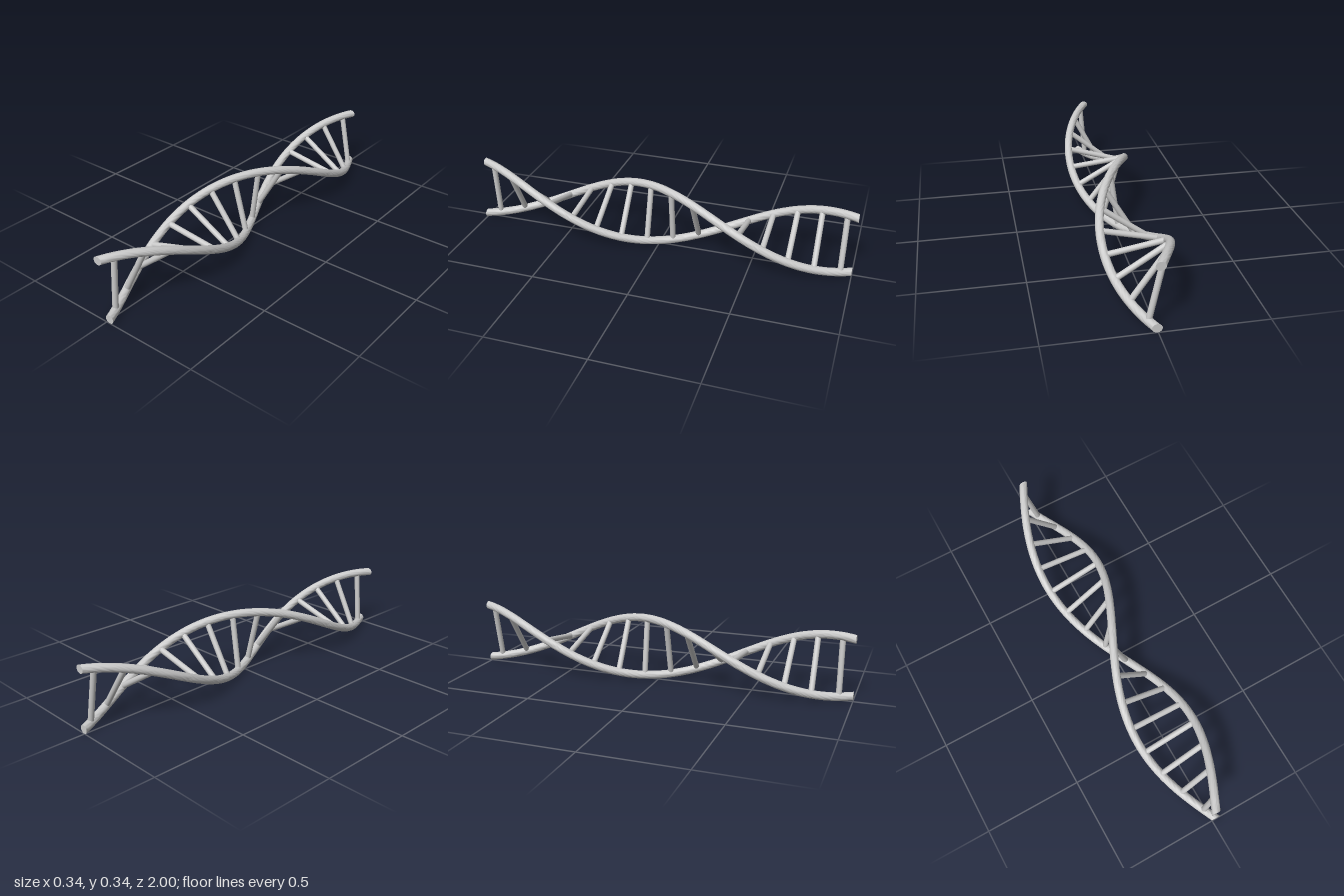
import * as THREE from 'three';
import { toCreasedNormals } from 'three/addons/utils/BufferGeometryUtils.js';

const R = 0.149;            // helix radius
const TUBE = 0.021;         // strand thickness (radius)
const AXIS_Y = 0.17;        // height of the helix axis
const TWIST = THREE.MathUtils.degToRad(183);   // turn per unit of z
const START = THREE.MathUtils.degToRad(97.6);  // angle at the front end
const angleAt = (z) => START + (z - 1) * TWIST;

// Strand: a cylinder along z whose rings are moved onto the helix, ends cut flat
function strandGeometry(phase) {
  const g = new THREE.CylinderGeometry(1, 1, 2, 20, 120).rotateX(Math.PI / 2);
  const p = g.attributes.position;
  const stretch = Math.hypot(1, R * TWIST);   // keeps the slanted tube round
  for (let i = 0; i < p.count; i++) {
    const z = p.getZ(i);
    const a = angleAt(z) + phase;
    const radial = R + p.getX(i) * TUBE;
    const side = p.getY(i) * TUBE * stretch;
    p.setXY(i,
      radial * Math.cos(a) - side * Math.sin(a),
      radial * Math.sin(a) + side * Math.cos(a));
  }
  return toCreasedNormals(g, Math.PI / 4);
}

export function createModel() {
  const model = new THREE.Group();
  model.name = 'doubleHelix';
  const material = new THREE.MeshStandardMaterial({ color: 0xcccccc });

  const helix = new THREE.Group();
  helix.name = 'helix';
  helix.position.y = AXIS_Y;
  model.add(helix);

  // Two strands, half a turn apart
  ['firstStrand', 'secondStrand'].forEach((name, i) => {
    const strand = new THREE.Mesh(strandGeometry(i * Math.PI), material);
    strand.name = name;
    helix.add(strand);
  });

  // Rungs joining the strands
  const rungGeometry = new THREE.CylinderGeometry(0.0145, 0.0145, 2 * R, 16);
  for (let i = 0; i < 16; i++) {
    const z = -0.945 + i * 0.1252;
    const rung = new THREE.Mesh(rungGeometry, material);
    rung.name = `rung${i + 1}`;
    rung.position.z = z;
    rung.rotation.z = angleAt(z) - Math.PI / 2;
    helix.add(rung);
  }
  return model;
}
